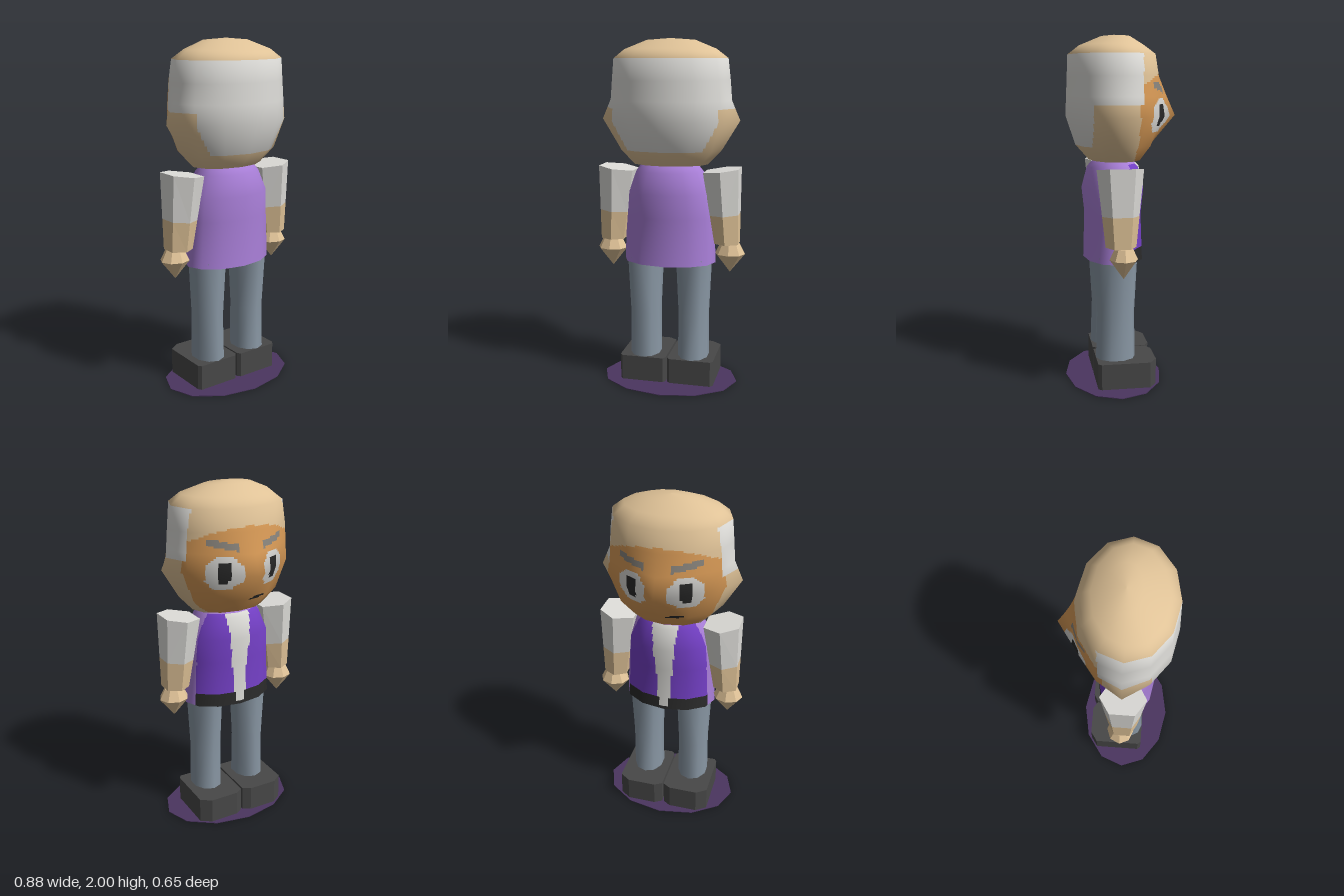
import * as THREE from 'three';

const mat = (name, color) => {
  const m = new THREE.MeshStandardMaterial({ color });
  m.name = name;
  return m;
};
const V = (x, y, z) => new THREE.Vector3(x, y, z);

// Elliptical ring of points, from +z round through +x
function ring(y, rx, zBack, zFront, cx = 0, sides = 12) {
  const cz = (zBack + zFront) / 2, rz = (zBack - zFront) / 2;
  return Array.from({ length: sides }, (_, i) => {
    const a = (i / sides) * Math.PI * 2;
    return V(cx + rx * Math.sin(a), y, cz + rz * Math.cos(a));
  });
}

// Surface through rings; paint(x, y, z) picks the material of each small cell
function loft(name, rings, mats, { flat = false, subU = 1, step = 9, paint = () => 0 } = {}) {
  const n = rings[0].length;
  const coarse = new THREE.BufferGeometry().setFromPoints(rings.flat());
  const idx = [];
  for (let r = 0; r < rings.length - 1; r++)
    for (let i = 0; i < n; i++) {
      const a = r * n + i, b = r * n + (i + 1) % n;
      idx.push(a, b, b + n, a, b + n, a + n);
    }
  coarse.setIndex(idx);
  coarse.computeVertexNormals();
  const P = coarse.attributes.position, N = coarse.attributes.normal;
  const at = (attr, r, i, u, v) => {
    const g = (rr, ii) => V().fromBufferAttribute(attr, rr * n + ii % n);
    return g(r, i).lerp(g(r, i + 1), u).lerp(g(r + 1, i).lerp(g(r + 1, i + 1), u), v);
  };
  const pos = mats.map(() => []), nor = mats.map(() => []);
  for (let r = 0; r < rings.length - 1; r++) {
    const rows = Math.max(1, Math.round((rings[r + 1][0].y - rings[r][0].y) / step));
    for (let i = 0; i < n; i++)
      for (let j = 0; j < rows; j++)
        for (let k = 0; k < subU; k++) {
          const c = at(P, r, i, (k + 0.5) / subU, (j + 0.5) / rows);
          const m = paint(c.x, c.y, c.z);
          for (const [du, dv] of [[0, 0], [1, 0], [1, 1], [0, 0], [1, 1], [0, 1]]) {
            const u = (k + du) / subU, v = (j + dv) / rows;
            pos[m].push(...at(P, r, i, u, v).toArray());
            nor[m].push(...at(N, r, i, u, v).normalize().toArray());
          }
        }
  }
  const geo = new THREE.BufferGeometry();
  geo.setAttribute('position', new THREE.Float32BufferAttribute(pos.flat(), 3));
  geo.setAttribute('normal', new THREE.Float32BufferAttribute(nor.flat(), 3));
  if (flat) geo.computeVertexNormals();
  let start = 0;
  pos.forEach((p, m) => {
    if (p.length) geo.addGroup(start, p.length / 3, m);
    start += p.length / 3;
  });
  const mesh = new THREE.Mesh(geo, mats);
  mesh.name = name;
  return mesh;
}

// Flat lid closing a ring
function cap(name, pts, material, up) {
  const idx = [];
  for (let i = 1; i < pts.length - 1; i++) idx.push(0, ...(up ? [i, i + 1] : [i + 1, i]));
  const geo = new THREE.BufferGeometry().setFromPoints(pts);
  geo.setIndex(idx);
  geo.computeVertexNormals();
  const mesh = new THREE.Mesh(geo, material);
  mesh.name = name;
  return mesh;
}

export function createModel() {
  const skin = mat('skin', 0xdfc297), face = mat('face', 0xd89a56), white = mat('white', 0xdddcd8);
  const lilac = mat('lilac', 0xa97fd8), purple = mat('purple', 0x7440c6), denim = mat('blue grey', 0x8a98a5);
  const shoeGrey = mat('shoe grey', 0x484848), black = mat('black', 0x2b2b2b);
  const brow = mat('brow grey', 0x89847c), basePurple = mat('base purple', 0x4b3560);
  const model = new THREE.Group();
  model.name = 'figure';

  // Head, with pointed ears and nose
  const headRings = [
    [1.3, 0.22, 0.18, -0.12], [1.385, 0.3, 0.255, -0.185], [1.55, 0.36, 0.31, -0.235],
    [1.66, 0.352, 0.305, -0.235], [1.77, 0.343, 0.3, -0.23], [1.89, 0.33, 0.295, -0.21],
    [1.94, 0.265, 0.23, -0.14], [1.99, 0.14, 0.11, -0.06], [2, 0, 0.03, 0.03],
  ].map((a) => ring(...a));
  headRings[2][3].x = 0.4;
  headRings[2][9].x = -0.4;
  headRings[2][6].z = -0.325;
  headRings[3][6].z = -0.275;
  const paintHead = (x, y, z) => {
    const ax = Math.abs(x);
    if (y > 1.89) return 0;
    if (z > -0.09) {
      if (y < 1.385) return z < -0.06 ? 1 : 0;
      return y > 1.62 || z > 0.18 ? 2 : z < -0.07 ? 1 : 0;
    }
    const ex = Math.abs(ax - 0.148), ey = Math.abs(y - 1.555);
    if (ex < 0.025 && ey < 0.058) return 3;
    if (ey < 0.095 && ex < 0.085 && ex / 0.085 + ey / 0.095 < 1.45) return 2;
    if (ax > 0.075 && ax < 0.225 && Math.abs(y - 1.69 - (ax - 0.07) * 0.22) < 0.018) return 4;
    if (x > -0.12 && x < -0.02 && Math.abs(y - 1.385 + (x + 0.07) * 0.1) < 0.008) return 3;
    return y < 1.72 + (-0.09 - z) * 0.6 ? 1 : 0;
  };
  model.add(loft('head', headRings, [skin, face, white, black, brow],
    { subU: 12, step: 0.011, paint: paintHead }));
  model.add(cap('chin', headRings[0], skin, false));

  // Torso: plain back, front with shirt strip and belt
  const torsoRings = [
    [0.73, 0.272, 0.215, -0.135], [1, 0.26, 0.207, -0.125], [1.14, 0.25, 0.222, -0.142],
    [1.26, 0.197, 0.19, -0.112], [1.3, 0.165, 0.15, -0.07],
  ].map((a) => ring(...a));
  const paintTorso = (x, y, z) => {
    if (z > -0.03 || y > 1.275) return 0;
    const ax = Math.abs(x);
    if (y < 0.8) return ax < 0.03 && y > 0.745 ? 2 : 3;
    return ax < 0.04 + Math.max(0, y - 0.9) * 0.09 ? 2 : 1;
  };
  model.add(loft('torso', torsoRings, [lilac, purple, white, black],
    { subU: 10, step: 0.02, paint: paintTorso }));
  model.add(cap('torsoBottom', torsoRings[0], lilac, false));

  // Arm cross-section: t runs from the wrist (0) to the shoulder (1)
  const armRing = (t) => {
    const L = THREE.MathUtils.lerp;
    const out = 0.405, mid = L(0.335, 0.31, t), inn = L(0.27, 0.205, t);
    const w = L(0.085, 0.13, t), e = L(0.045, 0.07, t), y = L(0.85, 1.285, t), drop = 0.025 * t;
    return [[mid, w], [out, e], [out, -e], [mid, -w], [inn, -e], [inn, e]].map(
      ([x, z]) => V(x, y - drop * (out - x) / (out - inn), 0.04 + z));
  };

  const shoeShape = new THREE.Shape([
    [0.005, 0.155], [0.02, -0.16], [0.265, -0.16], [0.28, -0.14],
    [0.28, 0.14], [0.22, 0.182], [0.05, 0.182], [0.005, 0.155],
  ].map(([x, y], i) => new THREE.Vector2(x, i === 0 ? -0.14 : y)));

  for (const s of [1, -1]) {
    const half = new THREE.Group();
    half.name = s > 0 ? 'leftLimbs' : 'rightLimbs';
    half.scale.x = s;

    half.add(loft('sleeve', [armRing(0.4), armRing(1)], [white], { flat: true }));
    half.add(loft('forearm', [armRing(0), armRing(0.4)], [skin], { flat: true }));
    half.add(cap('shoulder', armRing(1), white, true), cap('wrist', armRing(0), skin, false));

    const handRings = [[0.675, 0], [0.785, 0.087], [0.848, 0.055]].map(
      ([y, r]) => ring(y, r, 0.028 + r * 0.9, 0.028 - r * 0.9, 0.353, 8));
    half.add(loft('hand', handRings, [skin], { flat: true }));
    half.add(cap('handTop', handRings[2], skin, true));

    const legRings = [[0.14, 0.092, 0.16, -0.07], [0.42, 0.09, 0.15, -0.065], [0.76, 0.105, 0.17, -0.083]].map(
      ([y, r, b, f]) => ring(y, r, b, f, 0.145, 10));
    half.add(loft('leg', legRings, [denim]));

    // Shoe outline is drawn with the toe towards +y, then laid flat
    const shoeGeo = new THREE.ExtrudeGeometry(shoeShape, { depth: 0.15, bevelEnabled: false });
    shoeGeo.rotateX(-Math.PI / 2);
    const shoe = new THREE.Mesh(shoeGeo, shoeGrey);
    shoe.name = 'shoe';
    shoe.position.y = 0.005;
    half.add(shoe);
    model.add(half);
  }

  // Thin oval base
  const base = new THREE.Mesh(new THREE.CylinderGeometry(1, 1, 0.004, 12), basePurple);
  base.name = 'base';
  base.scale.set(0.405, 1, 0.285);
  base.position.set(0, 0.002, 0.04);
  model.add(base);
  return model;
}
